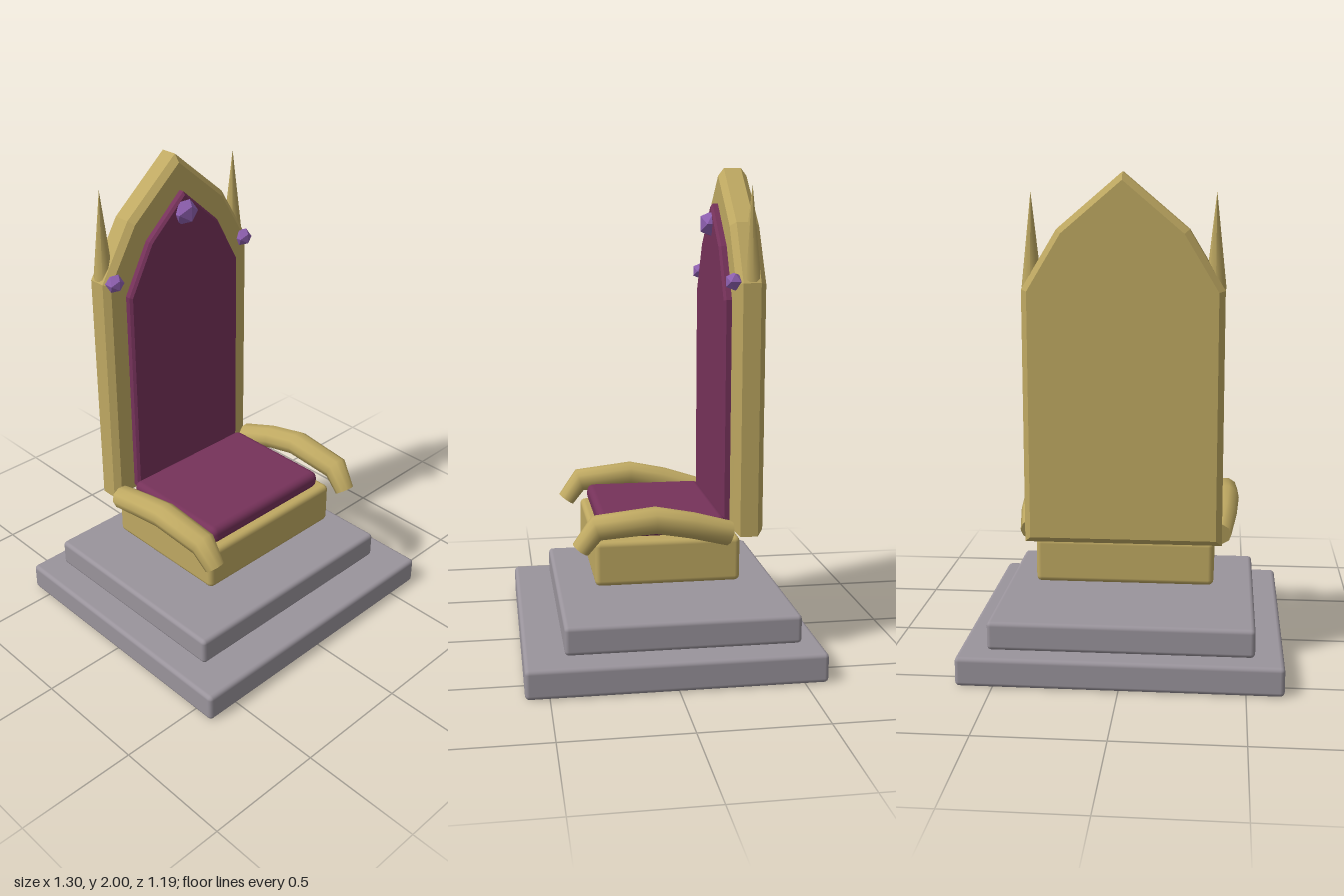
import * as THREE from 'three';
import { RoundedBoxGeometry } from 'three/addons/geometries/RoundedBoxGeometry.js';

const material = (name, color, flatShading = false) => {
  const m = new THREE.MeshStandardMaterial({ color, flatShading });
  m.name = name;
  return m;
};

// Lofts elliptical rings [x, y, z, radius] along an arm and closes both ends
function armGeometry(rings, sides = 10) {
  const pos = [], index = [];
  const pts = rings.map(r => new THREE.Vector3(r[0], r[1], r[2]));
  pts.forEach((p, i) => {
    const t = pts[Math.min(i + 1, pts.length - 1)].clone().sub(pts[Math.max(i - 1, 0)]).normalize();
    const side = new THREE.Vector3(0, 1, 0).cross(t).normalize();
    const up = t.clone().cross(side);
    for (let j = 0; j < sides; j++) {
      const a = j / sides * Math.PI * 2, r = rings[i][3];
      const v = p.clone().addScaledVector(side, Math.cos(a) * r).addScaledVector(up, Math.sin(a) * r * 0.9);
      pos.push(v.x, v.y, v.z);
      if (i < pts.length - 1) {
        const k = (j + 1) % sides, A = i * sides + j, B = i * sides + k;
        index.push(A, B, A + sides, B, B + sides, A + sides);
      }
    }
  });
  // End caps use their own vertices so the rims stay sharp
  for (const [ring, front] of [[0, false], [rings.length - 1, true]]) {
    const start = pos.length / 3;
    pos.push(...pos.slice(ring * sides * 3, (ring + 1) * sides * 3));
    for (let j = 1; j < sides - 1; j++) {
      index.push(start, start + (front ? j : j + 1), start + (front ? j + 1 : j));
    }
  }
  const g = new THREE.BufferGeometry();
  g.setAttribute('position', new THREE.Float32BufferAttribute(pos, 3));
  g.setIndex(index);
  g.computeVertexNormals();
  return g;
}

// Pointed-arch slab with chamfered edges between two depths
function archGeometry(half, z0, z1, bevel) {
  const left = half.slice(0, -1).reverse().map(([x, y]) => [-x, y]);
  const shape = new THREE.Shape([...half, ...left].map(([x, y]) => new THREE.Vector2(x, y)));
  const g = new THREE.ExtrudeGeometry(shape, {
    depth: z1 - z0 - 2 * bevel, bevelEnabled: true, bevelSize: bevel, bevelThickness: bevel, bevelSegments: 1
  });
  return g.translate(0, 0, z0 + bevel);
}

export function createModel() {
  const model = new THREE.Group();
  model.name = 'throne';
  const stone = material('stone', 0x9a949c);
  const gold = material('gold', 0xbfa962);
  const velvet = material('velvet', 0x76325a);
  const gem = material('gem', 0x8e60b0, true);

  const add = (name, geometry, mat, x = 0, y = 0, z = 0) => {
    const mesh = new THREE.Mesh(geometry, mat);
    mesh.name = name;
    mesh.position.set(x, y, z);
    model.add(mesh);
    return mesh;
  };
  const block = (name, mat, x, y0, y1, z0, z1, r) =>
    add(name, new RoundedBoxGeometry(2 * x, y1 - y0, z1 - z0, 2, r), mat, 0, (y0 + y1) / 2, (z0 + z1) / 2);

  // Stepped dais
  block('lowerStep', stone, 0.65, 0, 0.12, -0.595, 0.595, 0.018);
  block('upperStep', stone, 0.535, 0.122, 0.24, -0.515, 0.435, 0.018);

  // Seat
  block('seat', gold, 0.365, 0.34, 0.525, -0.295, 0.297, 0.022);
  block('seatCushion', velvet, 0.322, 0.525, 0.602, -0.245, 0.27, 0.03);

  // Backrest
  add('backFrame', archGeometry(
    [[0.373, 0.557], [0.373, 1.545], [0.238, 1.768], [0, 1.969]], -0.382, -0.262, 0.024), gold);
  add('backPanel', archGeometry(
    [[0.29, 0.58], [0.29, 1.477], [0.178, 1.682], [0, 1.842]], -0.29, -0.23, 0.01), velvet);
  add('crestGem', new THREE.IcosahedronGeometry(0.06), gem, 0, 1.772, -0.24);

  // Mirrored arms, spires and shoulder gems
  for (const [s, side] of [[1, 'left'], [-1, 'right']]) {
    add(side + 'Arm', armGeometry([
      [0.38 * s, 0.548, -0.243, 0.056],
      [0.4 * s, 0.592, -0.09, 0.058],
      [0.407 * s, 0.621, 0.06, 0.06],
      [0.405 * s, 0.598, 0.295, 0.057],
      [0.4 * s, 0.512, 0.358, 0.043]
    ]), gold);
    add(side + 'Spire', new THREE.ConeGeometry(0.041, 0.37, 8), gold, 0.359 * s, 1.742, -0.325);
    add(side + 'Gem', new THREE.IcosahedronGeometry(0.039), gem, 0.357 * s, 1.556, -0.258);
  }
  return model;
}
